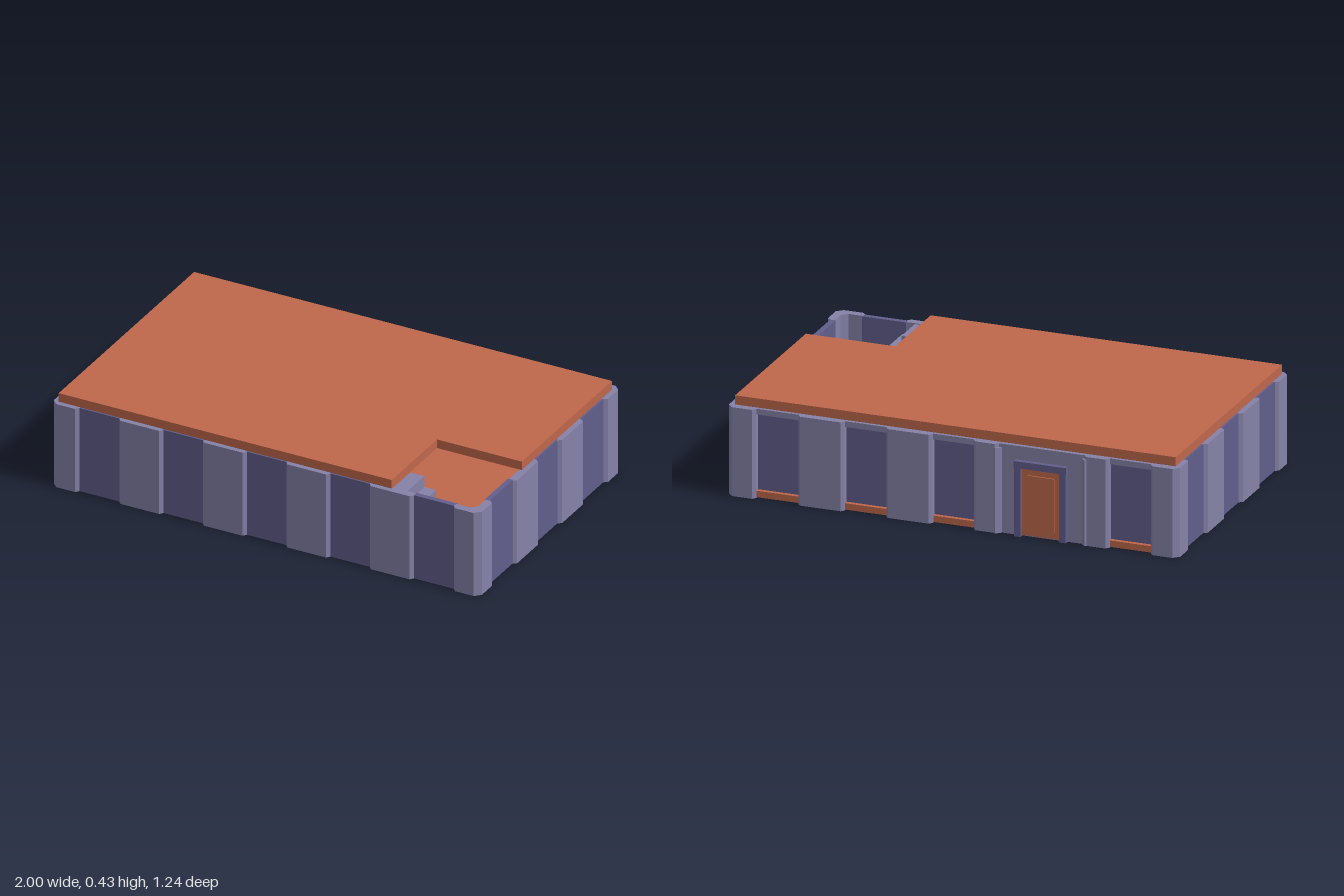
import * as THREE from 'three';

const wallLight = new THREE.MeshStandardMaterial({ color: 0x8582a8 });
wallLight.name = 'pale violet wall';
const wallDark = new THREE.MeshStandardMaterial({ color: 0x625e8c });
wallDark.name = 'deep violet panel';
const clay = new THREE.MeshStandardMaterial({ color: 0xbf674b });
clay.name = 'terracotta';

const WALL_H = 0.39, ROOF_H = 0.43, FLOOR_H = 0.03;
const HX = 1, HZ = 0.615; // outermost wall planes

export function createModel() {
  const model = new THREE.Group();
  model.name = 'building';

  // Extrude a plan outline of [x, z] points from y0 to y1
  function plan(name, points, y0, y1, material) {
    const shape = new THREE.Shape(points.map(([x, z]) => new THREE.Vector2(x, -z)));
    const geo = new THREE.ExtrudeGeometry(shape, { depth: y1 - y0, bevelEnabled: false });
    geo.rotateX(-Math.PI / 2).translate(0, y0, 0);
    const mesh = new THREE.Mesh(geo, material);
    mesh.name = name;
    model.add(mesh);
    return mesh;
  }

  // Box given by its limits
  const block = (name, x0, x1, y0, y1, z0, z1, material) =>
    plan(name, [[x0, z0], [x1, z0], [x1, z1], [x0, z1]], y0, y1, material);

  // Each side maps (position along wall, offset from outermost plane) to [x, z]
  const sides = {
    front: (u, d) => [u, HZ + d],
    back: (u, d) => [u, -HZ - d],
    left: (u, d) => [HX + d, u],
    right: (u, d) => [-HX - d, u],
  };

  // Projecting wall section with bevelled outer edges
  function pilaster(side, u, w) {
    const h = w / 2;
    const pts = [[-h, -0.035], [-h, -0.015], [-h + 0.012, 0], [h - 0.012, 0], [h, -0.015], [h, -0.035]];
    plan(side + 'Pilaster', pts.map(([a, d]) => sides[side](u + a, d)), 0, WALL_H, wallLight);
  }

  function slab(name, side, u0, u1, d0, d1, y0, y1, material) {
    const pts = [[u0, d0], [u1, d0], [u1, d1], [u0, d1]];
    plan(name, pts.map(([u, d]) => sides[side](u, d)), y0, y1, material);
  }

  // Floor and notched roof
  block('floor', -0.97, 0.97, 0.002, FLOOR_H, -0.594, 0.585, clay);
  plan('roof', [[-0.976, -0.58], [0.976, -0.58], [0.976, 0.2], [0.58, 0.2], [0.58, 0.592], [-0.976, 0.592]],
    WALL_H, ROOF_H, clay);

  // Chamfered corner pieces
  for (const sx of [-1, 1]) for (const sz of [-1, 1]) {
    const pts = [[HX - 0.125, HZ - 0.015], [HX - 0.137 + 0.025, HZ], [HX - 0.025, HZ], [HX, HZ - 0.025],
      [HX, HZ - 0.113], [HX - 0.015, HZ - 0.125], [HX - 0.035, HZ - 0.125],
      [HX - 0.035, HZ - 0.06], [HX - 0.06, HZ - 0.035], [HX - 0.125, HZ - 0.035]];
    plan('cornerPilaster', pts.map(([x, z]) => [x * sx, z * sz]), 0, WALL_H, wallLight);
  }

  // Front wall
  for (const u of [-0.585, -0.195, 0.195, 0.585]) pilaster('front', u, 0.205);
  for (const u of [-0.78, -0.39, 0, 0.39, 0.78])
    slab('frontPanel', 'front', u - 0.097, u + 0.097, -0.04, -0.016, 0, WALL_H, wallDark);

  // End walls
  for (const side of ['left', 'right']) {
    for (const u of [-0.195, 0.195]) pilaster(side, u, 0.205);
    for (const u of [-0.39, 0, 0.39])
      slab(side + 'Panel', side, u - 0.1, u + 0.1, -0.04, -0.016, 0, WALL_H, wallDark);
  }

  // Back wall: deeper panels above an exposed floor edge, with lintels
  for (const u of [0.195, 0.585]) pilaster('back', u, 0.205);
  pilaster('back', -0.635, 0.11);
  pilaster('back', -0.145, 0.11);
  for (const u of [-0.78, 0, 0.39, 0.78]) {
    slab('backPanel', 'back', u - 0.1, u + 0.1, -0.06, -0.04, FLOOR_H, WALL_H, wallDark);
    slab('backLintel', 'back', u - 0.1, u + 0.1, -0.04, -0.02, 0.365, WALL_H, wallLight);
  }

  // Entrance bay with angled fins
  slab('entranceWall', 'back', -0.585, -0.195, -0.04, -0.016, 0, WALL_H, wallLight);
  for (const s of [-1, 1]) {
    const fin = new THREE.Mesh(new THREE.BoxGeometry(0.05, 0.375, 0.012), wallLight);
    fin.name = 'entranceFin';
    fin.position.set(-0.39 + s * 0.185, 0.1875, -0.6);
    fin.rotation.y = s * Math.PI / 4;
    model.add(fin);
    const u = -0.39 + s * 0.1;
    slab('doorJamb', 'back', u - 0.014, u + 0.014, -0.02, 0.005, 0, 0.31, wallDark);
  }
  slab('doorHead', 'back', -0.506, -0.274, -0.02, 0.005, 0.3, 0.33, wallDark);
  slab('door', 'back', -0.476, -0.304, -0.02, -0.01, 0.005, 0.3, clay);
  slab('doorInset', 'back', -0.45, -0.33, -0.012, -0.004, 0.035, 0.27, clay);

  // Winding stair: first flight toward the front, landing, second flight to the roof
  const rise = 0.051;
  const zs = [0.2, 0.25, 0.305, 0.36], xs = [0.75, 0.7, 0.645, 0.58];
  const top = (n) => FLOOR_H + n * rise;
  for (let i = 0; i < 3; i++) {
    block('lowerStep', 0.82, 0.962, Math.max(0, top(i + 1) - 0.1), top(i + 1), zs[i], zs[i + 1], wallLight);
    block('upperStep', xs[i + 1], xs[i], top(i + 5) - 0.1, top(i + 5), 0.43, 0.578, wallLight);
  }
  plan('landing', [[0.75, 0.43], [0.82, 0.43], [0.82, 0.36], [0.962, 0.36], [0.962, 0.578], [0.75, 0.578]],
    top(4) - 0.08, top(4), wallLight);

  return model;
}
